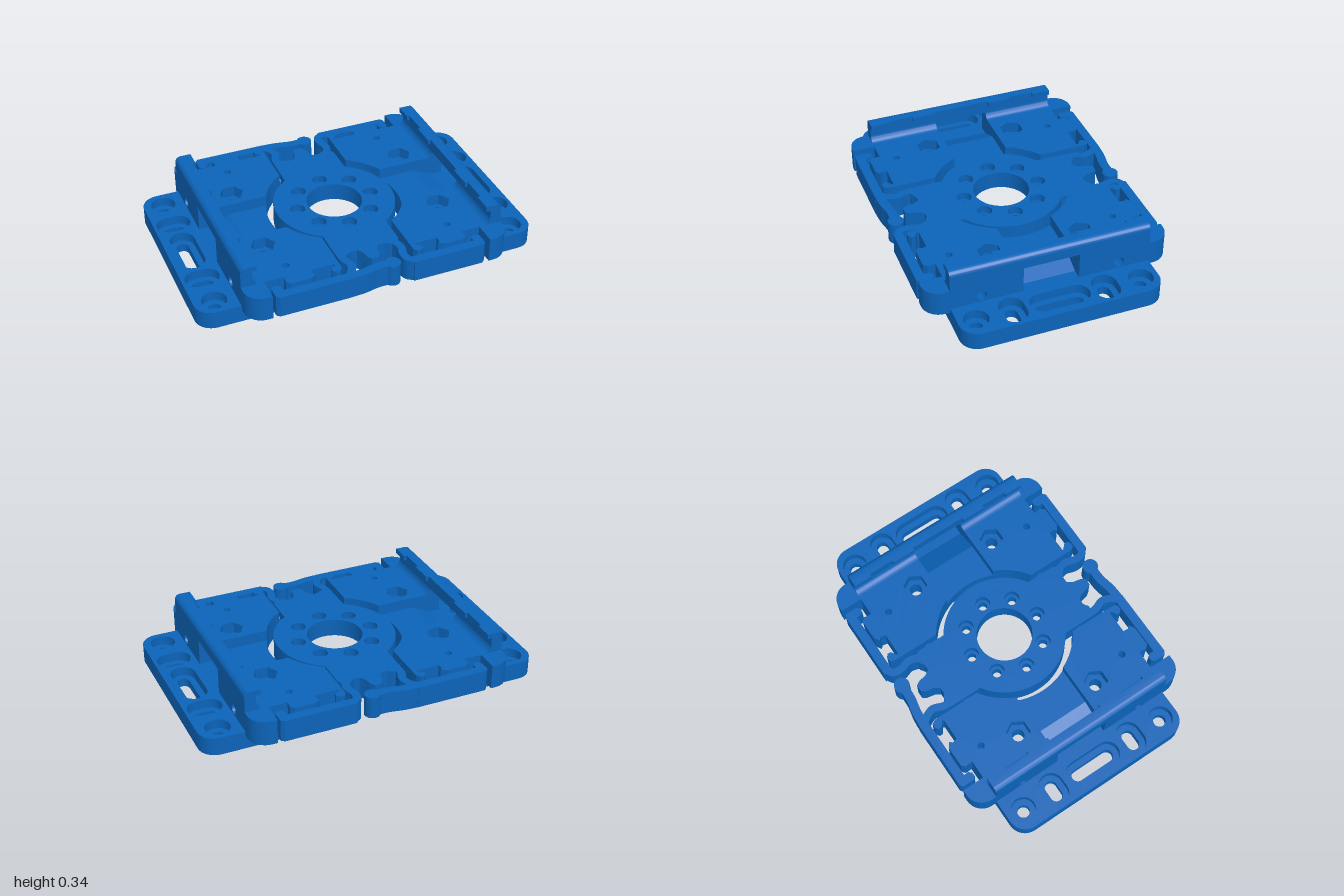
import * as THREE from 'three';
import { toCreasedNormals } from 'three/addons/utils/BufferGeometryUtils.js';

const mat = new THREE.MeshStandardMaterial({ color: 0x0b63b8, side: THREE.DoubleSide });
const v2 = (x, y) => new THREE.Vector2(x, y);

function add(parent, name, geo) {
  const mesh = new THREE.Mesh(toCreasedNormals(geo, 0.5), mat);
  mesh.name = name;
  parent.add(mesh);
  return mesh;
}

// Plan outline (x, z) with holes, filled from y0 to y1
function plate(parent, name, pts, holes, y0, y1) {
  const s = new THREE.Shape(pts);
  s.holes = holes.map((h) => new THREE.Path(h));
  const g = new THREE.ExtrudeGeometry(s, { depth: y1 - y0, bevelEnabled: false });
  g.rotateX(Math.PI / 2).translate(0, y1, 0);
  return add(parent, name, g);
}

// Profile (x, y) run from z0 to z1
function rail(parent, name, pts, z0, z1) {
  const g = new THREE.ExtrudeGeometry(new THREE.Shape(pts), { depth: z1 - z0, bevelEnabled: false });
  return add(parent, name, g.translate(0, 0, z0));
}

function arc(cx, cy, r, a0, a1, n = 8) {
  return Array.from({ length: n + 1 }, (_, i) => {
    const a = a0 + ((a1 - a0) * i) / n;
    return v2(cx + r * Math.cos(a), cy + r * Math.sin(a));
  });
}
const circle = (x, z, r, n = 28) => arc(x, z, r, 0, Math.PI * 2 * (1 - 1 / n), n - 1);
const rect = (x0, y0, x1, y1) => [v2(x0, y0), v2(x1, y0), v2(x1, y1), v2(x0, y1)];

// Slot with round ends; hx and hz are the half distances between end centres
function slot(x, z, hx, hz, r) {
  const a = Math.atan2(hz, hx), H = Math.PI / 2;
  return [...arc(x + hx, z + hz, r, a - H, a + H, 14), ...arc(x - hx, z - hz, r, a + H, a + 3 * H, 14)];
}

// Strip of constant width with round ends along a smooth path
function ribbon(parent, name, path, w, y0, y1) {
  const c = new THREE.SplineCurve(path), n = 40, left = [], right = [];
  for (let i = 0; i <= n; i++) {
    const p = c.getPoint(i / n), t = c.getTangent(i / n);
    left.push(v2(p.x - t.y * w / 2, p.y + t.x * w / 2));
    right.push(v2(p.x + t.y * w / 2, p.y - t.x * w / 2));
  }
  const cap = (u) => {
    const p = c.getPoint(u), t = c.getTangent(u), a = Math.atan2(t.y, t.x);
    const s = u ? a + Math.PI / 2 : a + 1.5 * Math.PI;
    return arc(p.x, p.y, w / 2, s, s - Math.PI, 8).slice(1, -1);
  };
  plate(parent, name, [...left, ...cap(1), ...right.reverse(), ...cap(0)], [], y0, y1);
}

function buildSide() {
  const side = new THREE.Group();
  const zs = [-1, 1];

  // Mounting base with slots, counterbores and countersunk screw holes
  const outline = [v2(0.4, -0.57), ...arc(0.9, -0.47, 0.1, -Math.PI / 2, 0), ...arc(0.9, 0.47, 0.1, 0, Math.PI / 2), v2(0.4, 0.57)];
  const mounts = (r, screw) => [
    slot(0.885, 0, 0, 0.1, r),
    ...zs.flatMap((s) => [circle(0.885, s * 0.47, r), slot(0.885, s * 0.265, 0.027, 0, r), circle(0.53, s * 0.265, screw)]),
  ];
  plate(side, 'baseLower', outline, mounts(0.035, 0.075), 0, 0.05);
  plate(side, 'baseUpper', outline, mounts(0.07, 0.035), 0.05, 0.105);

  for (const s of zs) {
    const cone = new THREE.LatheGeometry([v2(0.075, 0), v2(0.035, 0.05)], 28);
    add(side, 'countersink', cone.translate(0.53, 0, s * 0.265));

    // Raised body half: ring clearance, hooked finger and locating tab
    const a0 = Math.asin(0.16 / 0.39), a1 = Math.acos(0.21 / 0.39);
    const edge = [[0.21, 0.61], [0.225, 0.635], [0.25, 0.635], [0.268, 0.62], [0.265, 0.6], [0.235, 0.58], [0.24, 0.57],
      [0.37, 0.57], [0.375, 0.6], [0.36, 0.615], [0.39, 0.635], [0.51, 0.635], [0.53, 0.615], [0.525, 0.57],
      [0.7, 0.57], [0.7, 0.16]].map((p) => v2(...p));
    const body = [...arc(0, 0, 0.39, a0, a1, 12), ...edge].map((p) => v2(p.x, p.y * s));
    const pin = circle(0.48, s * 0.48, 0.02);
    plate(side, 'bodyLower', body, [circle(0.53, s * 0.265, 0.035), pin], 0.08, 0.16);
    plate(side, 'bodyUpper', body, [circle(0.53, s * 0.265, 0.07, 6), pin], 0.16, 0.225);

    // Rounded corner ear
    const ear = [v2(0.635, 0.565), v2(0.635, 0.7), ...arc(0.665, 0.6, 0.1, Math.PI / 2, 0), v2(0.765, 0.565)];
    plate(side, 'cornerEar', ear.map((p) => v2(p.x, p.y * s)), [], 0.08, 0.225);

    // Fillet between body and clip wall
    const fillet = [v2(0.705, 0.22), v2(0.66, 0.22), ...arc(0.66, 0.265, 0.04, -Math.PI / 2, 0), v2(0.705, 0.265)];
    rail(side, 'wallFillet', fillet, s > 0 ? 0.16 : -0.57, s > 0 ? 0.57 : -0.16);

    // Pin bridging the body and the hub neck
    const rod = new THREE.CylinderGeometry(0.03, 0.03, 0.08, 24);
    add(side, 'linkPin', rod.rotateZ(Math.PI / 2).translate(0.2, 0.14, s * 0.39));

    // Lip teeth
    for (const [a, b] of [[0.46, 0.57], [0.17, 0.31]]) {
      rail(side, 'lipTooth', rect(0.673, 0.315, 0.71, 0.345), s > 0 ? a : -b, s > 0 ? b : -a);
    }
  }

  // Sunken channel with a ramp falling towards the window
  const a = Math.asin(0.16 / 0.39);
  plate(side, 'channelFloor', [...arc(0, 0, 0.39, -a, a, 16), v2(0.58, 0.16), v2(0.58, -0.16)], [], 0.08, 0.16);
  rail(side, 'channelRamp', [v2(0.58, 0.09), v2(0.71, 0.09), v2(0.71, 0.105), v2(0.58, 0.16)], -0.16, 0.16);

  // Clip wall with window and pin holes, drawn in (z, y)
  const wall = new THREE.Shape(rect(-0.57, 0.08, 0.57, 0.305));
  wall.holes = [rect(-0.16, 0.105, 0.16, 0.26), ...zs.map((s) => circle(s * 0.395, 0.14, 0.03))].map((h) => new THREE.Path(h));
  const wg = new THREE.ExtrudeGeometry(wall, { depth: 0.065, bevelEnabled: false });
  add(side, 'clipWall', wg.rotateY(-Math.PI / 2).translate(0.765, 0, 0));

  // Rounded cap along the wall
  const cap = [v2(0.7, 0.305), v2(0.765, 0.305), ...arc(0.735, 0.315, 0.03, 0, Math.PI / 2), v2(0.69, 0.345), v2(0.69, 0.315), v2(0.7, 0.315)];
  rail(side, 'clipLip', cap, -0.57, 0.57);
  return side;
}

function buildHub() {
  const hub = new THREE.Group();
  hub.name = 'hub';

  // Disc with two necks, each ending in a rounded nub between two hollows
  const t = Math.acos(0.19 / 0.35);
  const end = [[0.19, 0.46], [0.17, 0.5], [0.13, 0.5], [0.1, 0.48], [0.065, 0.48], [0.045, 0.51], [0.035, 0.56], [0.02, 0.582]].map((p) => v2(...p));
  const quarter = [...arc(0, 0, 0.35, 0, t, 14), ...end];
  const half = [...quarter, ...quarter.map((p) => v2(-p.x, p.y)).reverse()];
  const outline = [...half, ...half.slice(1, -1).map((p) => v2(p.x, -p.y)).reverse()];
  const ring = (r) => Array.from({ length: 8 }, (_, i) =>
    circle(0.225 * Math.cos((i * Math.PI) / 4), 0.225 * Math.sin((i * Math.PI) / 4), r, 20));
  const bore = circle(0, 0, 0.16, 48);
  plate(hub, 'hubRecessRim', outline, [circle(0, 0, 0.275, 48)], 0.078, 0.1);
  plate(hub, 'hubCore', outline, [bore, ...ring(0.025)], 0.1, 0.16);
  plate(hub, 'hubTop', outline, [bore, ...ring(0.043)], 0.16, 0.205);

  // Spring arms, bars and latch at both ends
  for (const s of [-1, 1]) {
    const strip = (name, pts, w) => ribbon(hub, name, pts.map(([x, z]) => v2(x, z * s)), w, 0.078, 0.205);
    strip('rightSpring', [[-0.167, 0.44], [-0.165, 0.52], [-0.145, 0.58], [-0.16, 0.63], [-0.19, 0.67]], 0.045);
    strip('leftSpring', [[0.15, 0.47], [0.17, 0.54], [0.155, 0.6], [0.16, 0.65], [0.19, 0.672]], 0.045);
    strip('latchArm', [[-0.2, 0.673], [-0.11, 0.668], [-0.02, 0.652], [0.07, 0.652]], 0.052);
    plate(hub, 'latchKnob', circle(0.07, 0.652 * s, 0.045), [], 0.078, 0.205);
    for (const m of [-1, 1]) {
      const bar = [[0.18, 0.7], [0.595, 0.7], [0.613, 0.685], [0.613, 0.62], [0.6, 0.602], [0.575, 0.602], [0.56, 0.618], [0.56, 0.647], [0.18, 0.647]];
      plate(hub, 'springBar', bar.map(([x, z]) => v2(x * m, z * s)), [], 0.078, 0.205);
    }
  }
  return hub;
}

export function createModel() {
  const model = new THREE.Group();
  model.name = 'mountingClip';
  const left = buildSide();
  left.name = 'leftBracket';
  const right = buildSide();
  right.name = 'rightBracket';
  right.rotation.y = Math.PI;
  model.add(left, right, buildHub());
  return model;
}
